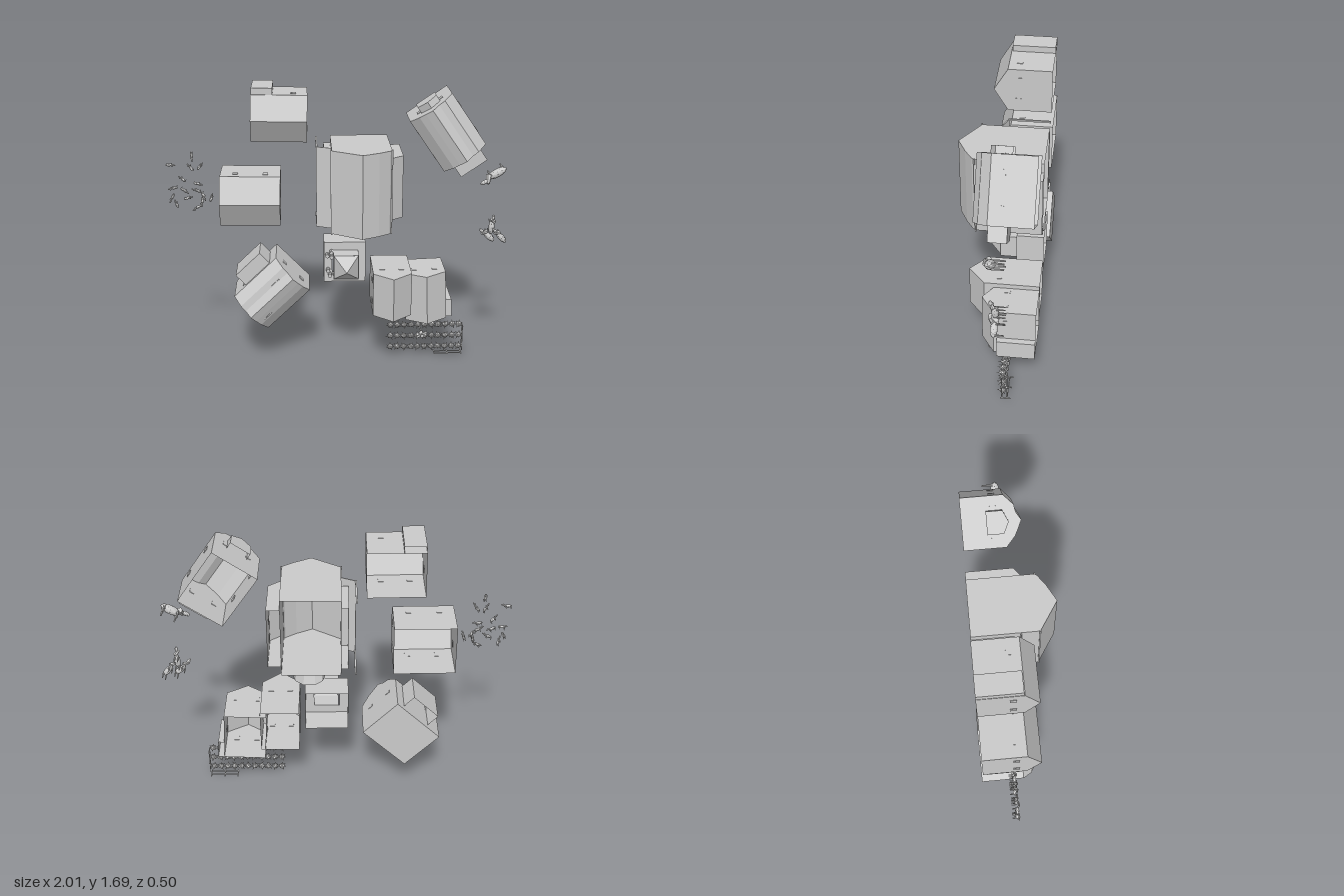
import * as THREE from 'three';

const mat = new THREE.MeshStandardMaterial({ color: 0xcccccc, flatShading: true, side: THREE.DoubleSide });
const GROUND = -0.1;

function add(parent, name, geo, x = 0, y = 0, z = 0) {
  const m = new THREE.Mesh(geo, mat);
  m.name = name;
  m.position.set(x, y, z);
  parent.add(m);
  return m;
}
const box = (parent, name, w, d, h, x, y, z) => add(parent, name, new THREE.BoxGeometry(w, d, h), x, y, z);

function group(parent, name, x, y, angle = 0, z = 0) {
  const g = new THREE.Group();
  g.name = name;
  g.position.set(x, y, z);
  g.rotation.z = angle;
  parent.add(g);
  return g;
}

// Hollow shell, open underneath: a [v, z] section (from +v to -v) swept along local x
function shell(parent, name, len, section, x = 0, v = 0) {
  const g = group(parent, name, x, v);
  const geo = new THREE.PlaneGeometry(len, 1, 1, section.length - 1);
  const p = geo.attributes.position;
  for (let i = 0; i < p.count; i++) {
    const [pv, pz] = section[Math.floor(i / 2)];
    p.setXYZ(i, p.getX(i), pv, pz);
  }
  const skin = geo.toNonIndexed();
  skin.computeVertexNormals();
  add(g, 'wallsAndRoof', skin);
  const basis = new THREE.Matrix4().makeBasis(
    new THREE.Vector3(0, 1, 0), new THREE.Vector3(0, 0, 1), new THREE.Vector3(1, 0, 0));
  for (const s of [1, -1]) {
    const shape = new THREE.Shape(section.map(([a, b]) => new THREE.Vector2(a * s, b)));
    const cap = new THREE.ShapeGeometry(shape).applyMatrix4(basis).translate(len / 2, 0, 0);
    if (s < 0) cap.rotateZ(Math.PI);
    add(g, 'endWall', cap);
  }
  return g;
}
const gable = (half, eave, ridge, base = -0.24) =>
  [[half, base], [half, eave], [0, ridge], [-half, eave], [-half, base]];
const flat = (half, top, base = -0.24) => [[half, base], [half, top], [-half, top], [-half, base]];
const mansard = (base) => [[0.143, base], [0.143, 0], [0.085, 0.055], [0.045, 0.062], [0, 0.09],
  [-0.045, 0.07], [-0.085, 0.05], [-0.143, 0], [-0.143, base]];

// Small panes on the two end walls and along the long walls
function windows(parent, len, half, z) {
  for (const s of [-1, 1]) {
    for (const t of [-0.25, 0.25]) {
      box(parent, 'windowFrame', 0.006, 0.03, 0.035, s * len / 2, t * half * 2, z);
      box(parent, 'windowFrame', 0.03, 0.006, 0.035, t * len, s * half, z);
    }
  }
}

function hall(root) {
  const g = group(root, 'greatHall', 0.125, 1.115, Math.PI / 2);
  shell(g, 'hallBody', 0.49, [[0.17, -0.24], [0.17, 0.14], [0, 0.25], [-0.095, 0.2],
    [-0.16, 0.155], [-0.17, 0.14], [-0.17, -0.24]]);
  shell(g, 'sideAisle', 0.37, [[0.04, -0.24], [0.04, 0.09], [-0.035, 0.03], [-0.035, -0.24]], 0, -0.21);
  shell(g, 'porchWall', 0.4, flat(0.02, 0), 0, 0.19);
  const roof = box(g, 'porchRoof', 0.48, 0.092, 0.006, -0.005, 0.213, 0.018);
  roof.rotation.x = -0.42;
  for (const s of [-1, 1]) box(g, 'porchPost', 0.01, 0.01, 0.24, s * 0.235, 0.253, -0.12);
  for (const x of [-0.12, 0, 0.12]) box(g, 'aisleWindow', 0.035, 0.006, 0.045, x, -0.245, -0.04);
  for (const v of [0.172, -0.172]) box(g, 'eaveBeam', 0.5, 0.008, 0.008, 0, v, 0.14);

  // Rounded chancel at the lower end
  const pts = [[0.045, 0.87], [0.06, 0.832], [0.105, 0.802], [0.17, 0.802], [0.215, 0.832], [0.23, 0.87]];
  const pos = [];
  for (let i = 0; i < pts.length - 1; i++) {
    const [a, b] = pts[i], [c, d] = pts[i + 1];
    pos.push(a, b, -0.24, c, d, -0.24, c, d, 0.03, a, b, -0.24, c, d, 0.03, a, b, 0.03);
    pos.push(a, b, 0.03, c, d, 0.03, 0.138, 0.87, 0.075);
  }
  const apse = new THREE.BufferGeometry();
  apse.setAttribute('position', new THREE.Float32BufferAttribute(pos, 3));
  apse.computeVertexNormals();
  add(root, 'chancel', apse);
}

function tower(root) {
  const g = group(root, 'squareTower', 0.038, 0.615);
  shell(g, 'towerBase', 0.25, [[0.125, -0.24], [0.125, -0.08]]).children.splice(1);
  shell(g, 'towerBase', 0.25, [[-0.125, -0.08], [-0.125, -0.24]]).children.splice(1);
  for (const s of [-1, 1]) {
    const wall = new THREE.PlaneGeometry(0.25, 0.16).rotateX(Math.PI / 2).rotateZ(s * Math.PI / 2);
    add(g, 'towerBaseWall', wall, s * 0.125, 0, -0.16);
  }
  const sq = (h) => [[-h, -h], [h, -h], [h, h], [-h, h]].map(([a, b]) => new THREE.Vector2(a, b));
  const deck = new THREE.Shape(sq(0.125));
  deck.holes.push(new THREE.Path(sq(0.075)));
  add(g, 'towerDeck', new THREE.ShapeGeometry(deck), 0, 0, -0.08);
  const pipe = (top, bottom, h) => new THREE.CylinderGeometry(top * Math.SQRT2, bottom * Math.SQRT2, h, 4, 1, true)
    .rotateY(Math.PI / 4).rotateX(Math.PI / 2);
  add(g, 'towerShaft', pipe(0.075, 0.075, 0.1), 0.005, 0, -0.03);
  add(g, 'towerRoof', pipe(0, 0.073, 0.1), 0.005, 0, 0.065);
  const barrel = new THREE.CylinderGeometry(0.012, 0.012, 0.04, 8).rotateX(Math.PI / 2);
  for (const [x, y] of [[-0.105, 0.05], [-0.08, 0.07], [-0.08, 0.042], [-0.1, -0.045], [-0.09, -0.075]])
    add(g, 'barrel', barrel, x, y, -0.06);
}

// Four-legged animal, facing local +x, about one unit long
function animal(root, name, x, y, angle, size) {
  const g = group(root, name, x, y, angle, GROUND);
  g.scale.setScalar(size);
  const ball = new THREE.IcosahedronGeometry(1, 1);
  add(g, 'body', ball, -0.13, 0, 0.42).scale.set(0.34, 0.14, 0.16);
  const neck = add(g, 'neck', new THREE.CylinderGeometry(0.06, 0.1, 0.3, 6), 0.22, 0, 0.55);
  neck.rotation.z = -0.9;
  neck.rotation.y = -0.8;
  add(g, 'head', ball, 0.38, 0, 0.6).scale.set(0.14, 0.07, 0.08);
  const leg = new THREE.CylinderGeometry(0.04, 0.025, 0.36, 5).rotateX(Math.PI / 2);
  for (const u of [-0.36, 0.1]) for (const s of [-1, 1]) add(g, 'leg', leg, u, s * 0.08, 0.18);
}

export function createModel() {
  const root = new THREE.Group();
  root.name = 'village';
  hall(root);
  tower(root);

  // Two plain cottages on the left
  const north = group(root, 'northCottage', -0.34, 1.517, -0.02);
  shell(north, 'cottageBody', 0.32, gable(0.135, 0.01, 0.09));
  shell(north, 'cottageAnnex', 0.12, flat(0.02, 0.005), -0.098, 0.152);
  windows(north, 0.32, 0.135, -0.05);
  const west = group(root, 'westCottage', -0.515, 1.03, -0.015);
  shell(west, 'cottageBody', 0.35, gable(0.148, 0.01, 0.09));
  windows(west, 0.35, 0.148, -0.05);

  // Rotated house with bays at both ends
  const east = group(root, 'eastHouse', 0.626, 1.425, -0.967);
  shell(east, 'houseBody', 0.36, mansard(-0.235));
  shell(east, 'endBay', 0.04, gable(0.063, -0.01, 0.02, -0.1), -0.2, 0);
  box(east, 'endBay', 0.086, 0.18, 0.1, 0.223, 0.01, -0.05);
  windows(east, 0.36, 0.143, -0.06);

  // Rotated house with a side wing and a floor
  const south = group(root, 'southHouse', -0.4, 0.45, 0.764);
  shell(south, 'houseBody', 0.35, mansard(-0.25));
  shell(south, 'sideWing', 0.2, flat(0.042, -0.02, -0.22), 0.02, 0.185);
  box(south, 'floor', 0.35, 0.286, 0.004, 0, 0, -0.25);
  windows(south, 0.35, 0.143, -0.06);
  for (const [u, v] of [[-0.1, -0.07], [0.08, 0.05]]) box(south, 'roofBeam', 0.06, 0.006, 0.006, u, v, 0.064);

  // Pair of joined houses
  const tall = group(root, 'tallHouse', 0.315, 0.463, Math.PI / 2);
  shell(tall, 'houseBody', 0.265, gable(0.114, 0.08, 0.18));
  windows(tall, 0.265, 0.114, 0);
  const low = group(root, 'lowHouse', 0.523, 0.42, Math.PI / 2 + 0.04);
  shell(low, 'houseBody', 0.3, gable(0.123, 0, 0.08));
  shell(low, 'houseAnnex', 0.11, flat(0.018, -0.02), -0.095, -0.141);
  windows(low, 0.3, 0.123, -0.06);

  // Three crop rows made of leafy clumps
  const leaf = new THREE.ConeGeometry(0.009, 0.03, 4).translate(0, 0.015, 0);
  for (const y of [0.057, 0.13, 0.203]) {
    const row = group(root, 'cropRow', 0, y, 0, -0.065);
    for (let i = 0; i < 11; i++) {
      const x = 0.32 + i * 0.0422;
      add(row, 'cropClump', new THREE.IcosahedronGeometry(0.019, 0), x).rotation.z = i;
      for (let k = 0; k < 7; k++) {
        const l = add(row, 'leaf', leaf, x, 0, 0);
        l.rotation.set(k % 2 ? 0.5 : -0.3, 0, i * 0.7 + k * Math.PI * 2 / 7);
      }
      add(row, 'topLeaf', leaf, x, 0, 0.008).rotation.x = Math.PI / 2;
    }
  }

  // Field fence
  for (const z of [-0.06, -0.09]) {
    box(root, 'fenceRail', 0.17, 0.004, 0.006, 0.675, 0.01, z);
    box(root, 'fenceRail', 0.004, 0.16, 0.006, 0.765, 0.11, z);
  }
  for (const [x, y] of [[0.595, 0.01], [0.675, 0.01], [0.76, 0.01], [0.765, 0.11], [0.765, 0.19]])
    box(root, 'fencePost', 0.006, 0.006, 0.06, x, y, -0.08);

  // Scarecrow in the field
  const crow = group(root, 'scarecrow', 0.505, 0.17, 0.5);
  box(crow, 'pole', 0.007, 0.007, 0.14, 0, 0, -0.03);
  box(crow, 'arms', 0.07, 0.012, 0.012, 0, 0, 0.01);
  box(crow, 'coat', 0.022, 0.016, 0.04, 0, 0, -0.005);
  add(crow, 'head', new THREE.IcosahedronGeometry(0.012, 1), 0, 0, 0.038);

  // Horse, cattle and the flock of sheep
  animal(root, 'horse', 0.905, 1.165, 3.67, 0.18);
  for (const [x, y, a] of [[0.912, 0.855, 1.5], [0.885, 0.79, 2.4], [0.96, 0.785, 2.3]])
    animal(root, 'cow', x, y, a, 0.13);
  const flock = [[-0.975, 1.23], [-0.91, 1.145], [-0.85, 1.28], [-0.805, 1.22], [-0.965, 1.09], [-0.9, 1.075],
    [-0.95, 0.995], [-0.975, 1.03], [-0.88, 1.03], [-0.83, 1.075], [-0.79, 1.04], [-0.745, 1.03],
    [-0.83, 0.97], [-0.82, 1.115], [-0.86, 1.215], [-0.8, 1.005]];
  flock.forEach(([x, y], i) => animal(root, 'sheep', x, y, i * 2.4, 0.06));
  return root;
}
